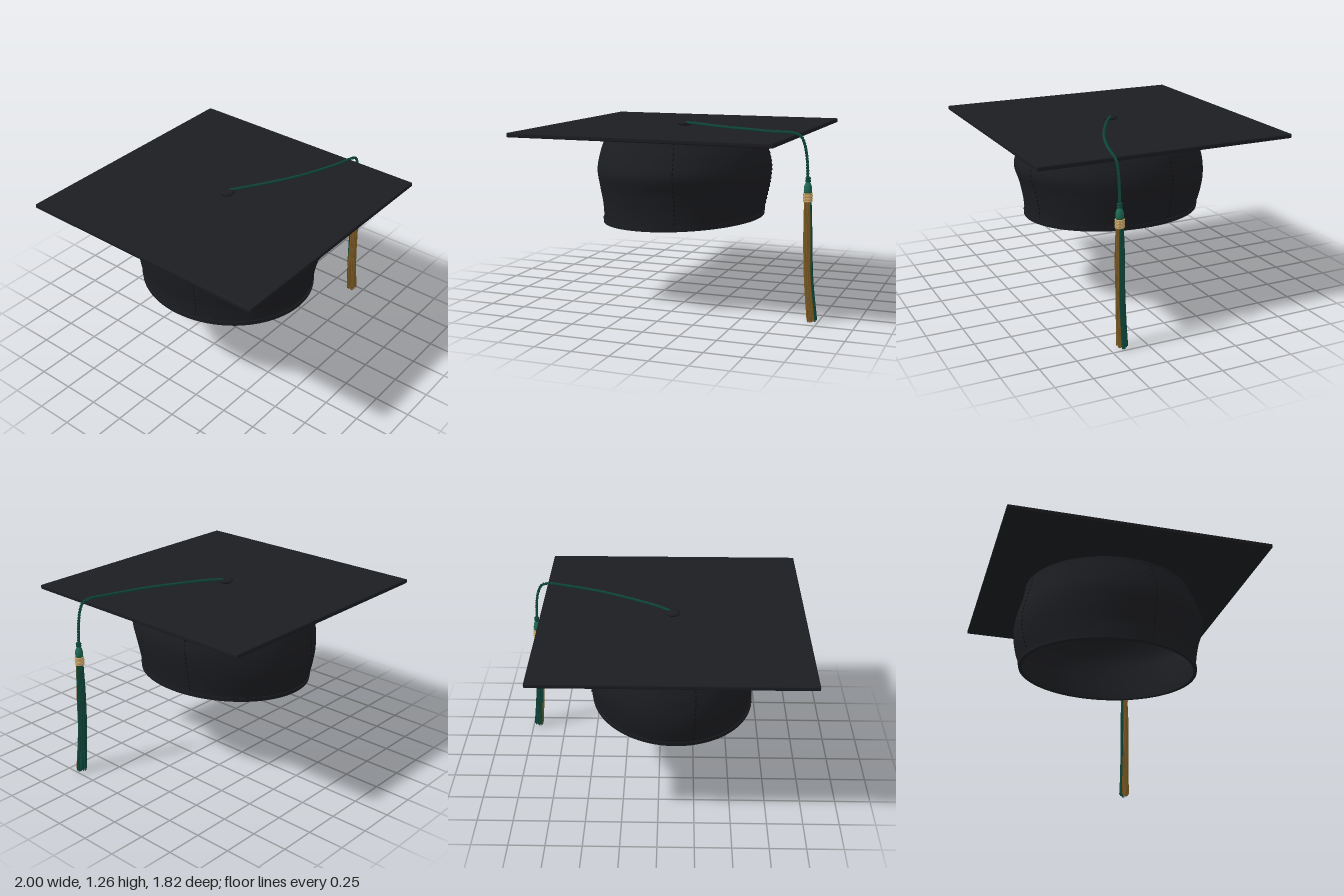
import * as THREE from 'three';
import { RoundedBoxGeometry } from 'three/addons/geometries/RoundedBoxGeometry.js';
import { mergeGeometries, toCreasedNormals } from 'three/addons/utils/BufferGeometryUtils.js';

const V = (x, y, z) => new THREE.Vector3(x, y, z);
const paint = (color) => new THREE.MeshStandardMaterial({ color });
const black = paint(0x1c1d21), thread = paint(0x08080a), green = paint(0x0f483b);
const brightGreen = paint(0x1f6b55), gold = paint(0x7d5c24), paleGold = paint(0xc8a468);

function add(parent, name, geometry, material) {
  const mesh = new THREE.Mesh(geometry, material);
  mesh.name = name;
  parent.add(mesh);
  return mesh;
}

function seeded(seed) {
  return () => (seed = (seed * 16807) % 2147483647) / 2147483647;
}

// Cap silhouette radii from bottom to top on each of the four sides
const CX = -0.085;
const profile = (radii) => new THREE.SplineCurve(radii.map((r, i) => new THREE.Vector2(r, i)));
const sides = {
  left: profile([0.558, 0.58, 0.605, 0.615, 0.59, 0.537]),
  right: profile([0.57, 0.575, 0.595, 0.607, 0.585, 0.549]),
  front: profile([0.63, 0.64, 0.665, 0.7, 0.66, 0.603]),
  back: profile([0.63, 0.665, 0.68, 0.665, 0.63, 0.607]),
};

// Point on the cap wall: angle a, height t (0 bottom, 1 top), pushed out by offset
function capPoint(a, t, offset) {
  const c = Math.cos(a), s = Math.sin(a), k = THREE.MathUtils.clamp(t, 0, 1);
  const rx = (c > 0 ? sides.left : sides.right).getPoint(k).x + offset;
  const rz = (s > 0 ? sides.front : sides.back).getPoint(k).x + offset;
  const bottom = 0.577 + 0.022 * c;
  return V(CX + rx * c, bottom + (1.19 - bottom) * t, rz * s);
}

// Closed shell between an outer and an inner offset of the cap wall
function capShell(t0, t1, outer, inner, steps) {
  const n = 96, rows = [], pos = [], index = [];
  for (let j = 0; j <= steps; j++) rows.push([t1 + (t0 - t1) * j / steps, outer]);
  for (let j = 0; j <= steps; j++) rows.push([t0 + (t1 - t0) * j / steps, inner]);
  rows.forEach(([t, offset], j) => {
    const next = (j + 1) % rows.length;
    for (let i = 0; i < n; i++) {
      pos.push(...capPoint(i / n * Math.PI * 2, t, offset).toArray());
      const k = (i + 1) % n;
      const a = j * n + i, b = j * n + k, c = next * n + i, d = next * n + k;
      index.push(a, b, c, b, d, c);
    }
  });
  const g = new THREE.BufferGeometry();
  g.setAttribute('position', new THREE.Float32BufferAttribute(pos, 3));
  g.setIndex(index);
  return toCreasedNormals(g, 0.7);
}

// Four dashed seams running up the wall
function stitches() {
  const parts = [], count = 18;
  for (let q = 0; q < 4; q++) {
    const a = -0.27 + q * Math.PI / 2;
    for (let i = 0; i < count; i++) {
      const t = 0.07 + 0.92 * i / count;
      const ends = [capPoint(a, t, 0.001), capPoint(a, t + 0.025, 0.001)];
      parts.push(new THREE.TubeGeometry(new THREE.LineCurve3(...ends), 1, 0.003, 5));
    }
  }
  return mergeGeometries(parts);
}

// Two strands twisted around a path
function twistedCord(path, radius, turns) {
  const n = 300, frames = path.computeFrenetFrames(n);
  const parts = [0, Math.PI].map((phase) => {
    const pts = [];
    for (let i = 0; i <= n; i++) {
      const a = phase + i / n * turns * Math.PI * 2;
      pts.push(path.getPointAt(i / n)
        .addScaledVector(frames.normals[i], Math.cos(a) * radius * 0.55)
        .addScaledVector(frames.binormals[i], Math.sin(a) * radius * 0.55));
    }
    return new THREE.TubeGeometry(new THREE.CatmullRomCurve3(pts), n, radius * 0.65, 6);
  });
  return mergeGeometries(parts);
}

function lathe(points) {
  return new THREE.LatheGeometry(points.map(([r, y]) => new THREE.Vector2(r, y)), 24);
}

function createTassel() {
  const tassel = new THREE.Group();
  tassel.name = 'tassel';
  tassel.position.set(0.917, 0, 0.415);

  // Knot rings and bulb
  [0.957, 0.94].forEach((y) => {
    const ring = add(tassel, 'knotRing', new THREE.TorusGeometry(0.011, 0.008, 8, 20), green);
    ring.rotation.x = Math.PI / 2;
    ring.position.y = y;
  });
  add(tassel, 'bulb', lathe([[0, 0.85], [0.024, 0.855], [0.027, 0.88], [0.025, 0.905],
    [0.018, 0.925], [0.01, 0.938], [0, 0.94]]), brightGreen);

  // Wrapped gold band
  add(tassel, 'bandCore', lathe([[0, 0.803], [0.028, 0.805], [0.028, 0.86], [0, 0.863]]), paleGold);
  for (let i = 0; i < 6; i++) {
    const wrap = add(tassel, 'bandWrap', new THREE.TorusGeometry(0.027, 0.0055, 6, 24), paleGold);
    wrap.rotation.x = Math.PI / 2;
    wrap.position.y = 0.809 + i * 0.0098;
  }

  // Hanging threads, gold towards the front and green towards the back
  const rand = seeded(7), threads = { gold: [], green: [] };
  const count = 84;
  for (let i = 0; i < count; i++) {
    const r = Math.sqrt((i + 0.5) / count), a = i * 2.39996;
    const x = Math.cos(a) * r, z = Math.sin(a) * r;
    const wob = () => (rand() - 0.5) * 0.008;
    const end = 0.004 + rand() * 0.025;
    const path = new THREE.CatmullRomCurve3([
      V(x * 0.022, 0.815, z * 0.022),
      V(x * 0.025 + 0.004 + wob(), 0.6, z * 0.028 + wob()),
      V(x * 0.027 + 0.016 + wob(), 0.3, z * 0.03 + wob()),
      V(x * 0.032 + 0.041 + wob(), end, z * 0.034 + wob()),
    ]);
    const side = z - x * 0.75 > -0.1 ? 'gold' : 'green';
    threads[side].push(new THREE.TubeGeometry(path, 14, 0.0043, 5));
  }
  add(tassel, 'goldThreads', mergeGeometries(threads.gold), gold);
  add(tassel, 'greenThreads', mergeGeometries(threads.green), green);
  return tassel;
}

export function createModel() {
  const model = new THREE.Group();
  model.name = 'graduationCap';

  // Square board
  add(model, 'board', new RoundedBoxGeometry(1.82, 0.03, 1.82, 2, 0.008), black)
    .position.set(-0.09, 1.215, 0);

  // Open fabric cap with hem and seams
  add(model, 'capWall', capShell(0, 1, 0, -0.014, 28), black);
  add(model, 'hem', capShell(-0.004, 0.045, 0.006, -0.018, 3), black);
  add(model, 'seamStitches', stitches(), thread);

  // Button
  const button = add(model, 'button', lathe([[0, -0.012], [0.045, -0.012], [0.052, -0.004],
    [0.05, 0.004], [0.038, 0.01], [0.018, 0.013], [0, 0.014]]), black);
  button.position.set(-0.09, 1.243, 0);

  // Cord across the board and over its edge
  const path = new THREE.CatmullRomCurve3([
    V(-0.075, 1.25, 0.005), V(0.0, 1.253, 0.06), V(0.2, 1.251, 0.177), V(0.42, 1.249, 0.285),
    V(0.65, 1.247, 0.368), V(0.82, 1.245, 0.412), V(0.865, 1.226, 0.415),
    V(0.892, 1.17, 0.415), V(0.908, 1.08, 0.415), V(0.916, 0.945, 0.415),
  ]);
  add(model, 'cord', twistedCord(path, 0.009, 34), green);

  model.add(createTassel());
  return model;
}
